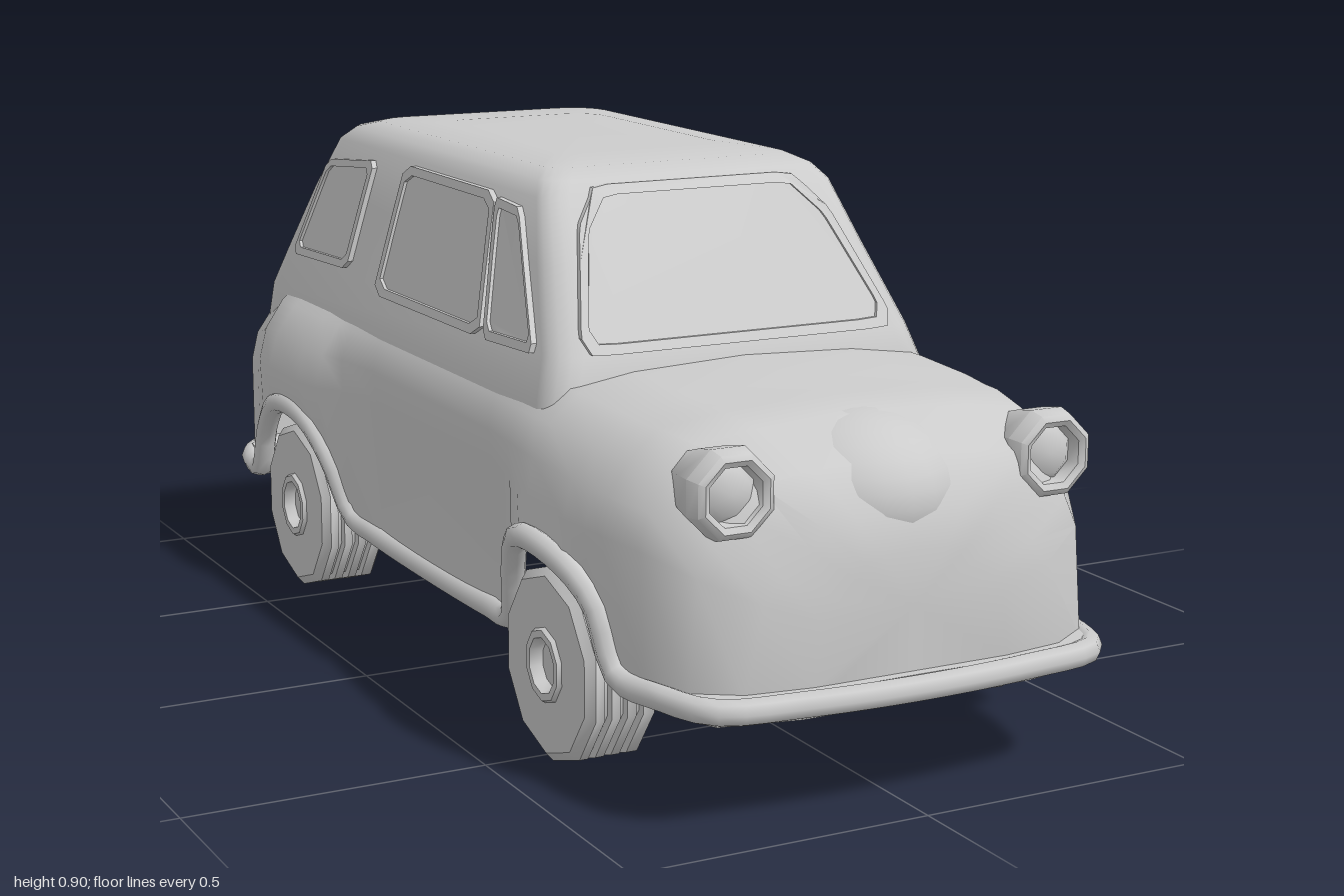
import * as THREE from 'three';
import { toCreasedNormals } from 'three/addons/utils/BufferGeometryUtils.js';

const paint = new THREE.MeshStandardMaterial({ color: 0xcccccc });
const shell = new THREE.MeshStandardMaterial({ color: 0xcccccc, side: THREE.DoubleSide });

function part(name, geometry, material = paint) {
  const mesh = new THREE.Mesh(geometry, material);
  mesh.name = name;
  return mesh;
}

// Skin through rings of equal point count; isOpen leaves out quads, capped lists the closed ends
function loft(rings, crease, isOpen, capped) {
  const n = rings[0].length, pos = rings.flat(2), index = [];
  for (let i = 0; i < rings.length - 1; i++) {
    for (let j = 0; j < n; j++) {
      const a = i * n + j, b = i * n + (j + 1) % n;
      if (!isOpen(i, j)) index.push(a, a + n, b, b, a + n, b + n);
    }
  }
  for (const r of capped) {
    const c = pos.length / 3;
    for (let k = 0; k < 3; k++) pos.push(rings[r].reduce((s, p) => s + p[k], 0) / n);
    for (let j = 0; j < n; j++) {
      const a = r * n + j, b = r * n + (j + 1) % n;
      if (r) index.push(c, b, a); else index.push(c, a, b);
    }
  }
  const g = new THREE.BufferGeometry();
  g.setAttribute('position', new THREE.Float32BufferAttribute(pos, 3));
  g.setIndex(index);
  return toCreasedNormals(g, crease);
}

// Lower body stations: z, underside, sill width, side width, shoulder width, top
const stations = [
  [0.95, 0.20, 0.17, 0.16, 0.10, 0.40], [0.935, 0.19, 0.28, 0.25, 0.17, 0.46],
  [0.89, 0.19, 0.35, 0.335, 0.27, 0.53], [0.80, 0.19, 0.375, 0.385, 0.335, 0.58],
  [0.71, 0.19, 0.385, 0.405, 0.355, 0.59], [0.67, 0.31, 0.40, 0.41, 0.36, 0.59],
  [0.61, 0.34, 0.42, 0.415, 0.365, 0.595], [0.47, 0.35, 0.425, 0.41, 0.37, 0.60],
  [0.41, 0.30, 0.41, 0.40, 0.37, 0.60], [0.35, 0.17, 0.38, 0.385, 0.37, 0.60],
  [0.25, 0.155, 0.365, 0.37, 0.365, 0.60], [-0.25, 0.155, 0.365, 0.37, 0.365, 0.60],
  [-0.37, 0.165, 0.375, 0.39, 0.37, 0.60], [-0.43, 0.28, 0.40, 0.42, 0.37, 0.60],
  [-0.50, 0.34, 0.42, 0.43, 0.375, 0.60], [-0.65, 0.34, 0.42, 0.43, 0.375, 0.60],
  [-0.73, 0.29, 0.415, 0.42, 0.37, 0.60], [-0.77, 0.19, 0.41, 0.41, 0.36, 0.58],
  [-0.86, 0.19, 0.39, 0.39, 0.345, 0.55], [-0.92, 0.19, 0.36, 0.355, 0.29, 0.50],
  [-0.945, 0.20, 0.32, 0.30, 0.22, 0.44],
];

function bodyRing([z, yb, w0, w1, w2, yt]) {
  const y = f => 0.2 + f * (yt - 0.2);
  const half = [
    [w0 - 0.02, yb], [w0, yb + 0.01], [w1, Math.max(y(0.55), yb + 0.03)],
    [(w1 + w2) / 2 + 0.01, y(0.7)], [w2, y(0.83)], [w2 * 0.86, y(0.94)], [w2 * 0.55, y(0.98)],
  ];
  return [[0, yb], ...half, [0, yt], ...half.map(([x, v]) => [-x, v]).reverse()]
    .map(([x, v]) => [x, v, z]);
}

// The shell is hollow: no underside, and no deck beneath the cabin
const bodyOpen = (i, j) => j === 0 || j === 15 ||
  (j >= 6 && j <= 9 && stations[i][0] < 0.42 && stations[i + 1][0] > -0.87);

// Cabin levels, top down: y, front z, back z, half width, front and back corner radius
const levels = [
  [0.897, 0.08, -0.45, 0.16, 0.04, 0.06], [0.890, 0.19, -0.60, 0.23, 0.04, 0.07],
  [0.875, 0.235, -0.67, 0.257, 0.04, 0.08], [0.85, 0.265, -0.71, 0.275, 0.04, 0.08],
  [0.75, 0.335, -0.785, 0.303, 0.05, 0.09], [0.62, 0.425, -0.86, 0.338, 0.05, 0.10],
  [0.55, 0.45, -0.895, 0.36, 0.05, 0.11], [0.46, 0.45, -0.93, 0.362, 0.05, 0.11],
];

function cabinRing([y, zf, zb, w, rf, rb]) {
  const ring = [];
  const corners = [[w - rb, zb + rb, rb], [rb - w, zb + rb, rb], [rf - w, zf - rf, rf], [w - rf, zf - rf, rf]];
  corners.forEach(([cx, cz, r], k) => {
    for (let i = 0; i <= 4; i++) {
      const t = (k + i / 4) * Math.PI / 2;
      ring.push([cx + r * Math.cos(t), y, cz - r * Math.sin(t)]);
    }
  });
  return ring;
}

// Cabin dimension (a column of levels) at height y
function cabinAt(y, col) {
  let i = 0;
  while (i < levels.length - 2 && y < levels[i + 1][0]) i++;
  const a = levels[i], b = levels[i + 1];
  return THREE.MathUtils.lerp(a[col], b[col], (a[0] - y) / (a[0] - b[0]));
}

const onSide = (u, v, d) => [cabinAt(v, 3) + d, v, -u];
const onFront = (u, v, d) => [u, v, cabinAt(v, 1) + d];
const onBack = (u, v, d) => [-u, v, cabinAt(v, 2) - d];

// Raised frame and recessed pane, both wrapped onto the cabin
function windowPart(name, corners, wrap, rise = 0) {
  const pts = corners.flatMap(([u, v], i) => {
    const [u2, v2] = corners[(i + 1) % corners.length];
    return [0.07, 0.35, 0.65, 0.93].map(t => new THREE.Vector2(u + (u2 - u) * t, v + (v2 - v) * t));
  });
  const box = new THREE.Box2().setFromPoints(pts);
  const c = box.getCenter(new THREE.Vector2()), size = box.getSize(new THREE.Vector2());
  const inner = pts.map(p => new THREE.Vector2(
    c.x + (p.x - c.x) * (1 - 0.034 / size.x), c.y + (p.y - c.y) * (1 - 0.03 / size.y)));
  const make = (shape, depth) => {
    const g = new THREE.ExtrudeGeometry(shape, { depth: depth + 0.01, bevelEnabled: false });
    const p = g.attributes.position;
    for (let i = 0; i < p.count; i++) p.setXYZ(i, ...wrap(p.getX(i), p.getY(i), p.getZ(i) - 0.01));
    return toCreasedNormals(g, 0.6);
  };
  const frame = new THREE.Shape(pts);
  frame.holes.push(new THREE.Path(inner));
  const group = new THREE.Group();
  group.name = name;
  group.add(part('windowFrame', make(frame, 0.01 + rise)), part('windowPane', make(new THREE.Shape(inner), 0.004 + rise)));
  return group;
}

const lathe = (pts, sides, crease) => toCreasedNormals(
  new THREE.LatheGeometry(pts.map(p => new THREE.Vector2(...p)), sides, Math.PI / 2), crease);

// Wheel with grooved tread and a recessed hub, outer face towards +y
function wheelGeometry() {
  const pts = [[0, -0.06], [0.145, -0.06], [0.16, -0.05]];
  for (const g of [-0.025, 0.002, 0.029]) pts.push([0.16, g - 0.006], [0.148, g - 0.004], [0.148, g + 0.004], [0.16, g + 0.006]);
  pts.push([0.16, 0.05], [0.145, 0.063], [0.062, 0.063], [0.058, 0.07], [0.046, 0.07], [0.038, 0.05], [0, 0.05]);
  return lathe(pts, 10, 0.7);
}

const mirrored = half => [...half, ...half.map(([x, ...rest]) => [-x, ...rest]).reverse()];

// Flat floor that joins a bumper to the body
function bumperFloor(half) {
  const shape = new THREE.Shape(mirrored(half).map(([x, , z]) => new THREE.Vector2(x, z)));
  return new THREE.ExtrudeGeometry(shape, { depth: 0.04, bevelEnabled: false }).rotateX(Math.PI / 2).translate(0, 0.212, 0);
}

export function createModel() {
  const car = new THREE.Group();
  car.name = 'car';
  car.add(part('lowerBody', loft(stations.map(bodyRing), 0.75, bodyOpen, [0, stations.length - 1]), shell));
  car.add(part('cabin', loft(levels.map(cabinRing), 0.7, () => false, [0]), shell));

  // Rounded centre of the bonnet
  const nose = part('noseBulge', new THREE.SphereGeometry(1, 24, 16));
  nose.scale.set(0.17, 0.125, 0.175);
  nose.position.set(0, 0.458, 0.768);
  car.add(nose);

  // Bumpers, wheel arch lips and sills as one continuous moulding
  const lip = [
    [0.2, 0.195, 0.967], [0.33, 0.195, 0.94], [0.368, 0.195, 0.85], [0.385, 0.2, 0.73], [0.40, 0.3, 0.685],
    [0.415, 0.345, 0.62], [0.42, 0.355, 0.46], [0.40, 0.29, 0.395], [0.375, 0.185, 0.335], [0.362, 0.168, 0.22],
    [0.362, 0.168, -0.28], [0.372, 0.185, -0.38], [0.395, 0.28, -0.425], [0.412, 0.345, -0.50], [0.412, 0.345, -0.66],
    [0.405, 0.28, -0.74], [0.40, 0.19, -0.79], [0.385, 0.19, -0.89], [0.32, 0.19, -0.965], [0.2, 0.19, -0.977],
  ];
  const loop = [[0, 0.195, 0.979], ...lip, [0, 0.19, -0.979], ...lip.map(([x, y, z]) => [-x, y, z]).reverse()];
  const curve = new THREE.CatmullRomCurve3(loop.map(p => new THREE.Vector3(...p)), true, 'centripetal');
  car.add(part('bumperAndArchLip', new THREE.TubeGeometry(curve, 180, 0.021, 8, true)));
  car.add(part('frontBumperFloor', bumperFloor(lip.slice(0, 4))));
  car.add(part('rearBumperFloor', bumperFloor(lip.slice(16))));

  // Windscreen and rear window
  const screen = [[0.275, 0.622], [0.287, 0.65], [0.235, 0.81], [0.185, 0.868]];
  const rear = [[0.215, 0.468], [0.25, 0.50], [0.21, 0.82], [0.18, 0.85]];
  car.add(windowPart('windscreen', mirrored(screen), onFront));
  car.add(windowPart('rearWindow', mirrored(rear), onBack, 0.008));

  const wheel = wheelGeometry();
  const lampRim = lathe([[0.05, -0.08], [0.066, -0.03], [0.074, 0.01], [0.068, 0.036], [0.058, 0.042], [0.048, 0.036], [0.044, 0.012]], 8, 0.8);
  const lampLens = lathe([[0.046, 0.012], [0.034, 0.022], [0, 0.026]], 8, 0.8);

  for (const s of [1, -1]) {
    const side = s > 0 ? 'left' : 'right';

    // Side windows, mirrored across the car
    const windows = new THREE.Group();
    windows.name = side + 'Windows';
    windows.add(
      windowPart('quarterWindow', [[-0.36, 0.62], [-0.17, 0.612], [-0.095, 0.835], [-0.19, 0.83]], onSide),
      windowPart('doorWindow', [[-0.155, 0.612], [0.31, 0.61], [0.30, 0.842], [-0.09, 0.842]], onSide),
      windowPart('rearSideWindow', [[0.455, 0.632], [0.73, 0.622], [0.66, 0.81], [0.44, 0.832]], onSide));
    windows.scale.x = s;
    car.add(windows);

    // Wheels
    for (const [end, z] of [['Front', 0.53], ['Rear', -0.58]]) {
      const w = part(side + end + 'Wheel', wheel);
      w.rotation.z = -s * Math.PI / 2;
      w.position.set(s * 0.346, 0.16, z);
      car.add(w);
    }

    // Headlight
    const lamp = new THREE.Group();
    lamp.name = side + 'Headlight';
    lamp.add(part('lampRim', lampRim, shell), part('lampLens', lampLens));
    lamp.rotation.set(Math.PI / 2, Math.PI / 8, 0);
    lamp.position.set(s * 0.28, 0.503, 0.868);
    car.add(lamp);

    // Tail light
    const tail = part(side + 'TailLight', new THREE.SphereGeometry(1, 12, 8));
    tail.scale.set(0.026, 0.032, 0.03);
    tail.position.set(s * 0.215, 0.325, -0.945);
    car.add(tail);
  }

  // Blank number plate with a raised border
  const plate = part('numberPlate', new THREE.BoxGeometry(0.19, 0.06, 0.03));
  plate.position.set(0, 0.32, -0.942);
  car.add(plate);
  for (const s of [1, -1]) {
    const rail = part('plateRail', new THREE.BoxGeometry(0.21, 0.01, 0.035));
    rail.position.set(0, 0.32 + s * 0.033, -0.945);
    const post = part('platePost', new THREE.BoxGeometry(0.01, 0.066, 0.035));
    post.position.set(s * 0.1, 0.32, -0.945);
    car.add(rail, post);
  }
  return car;
}
